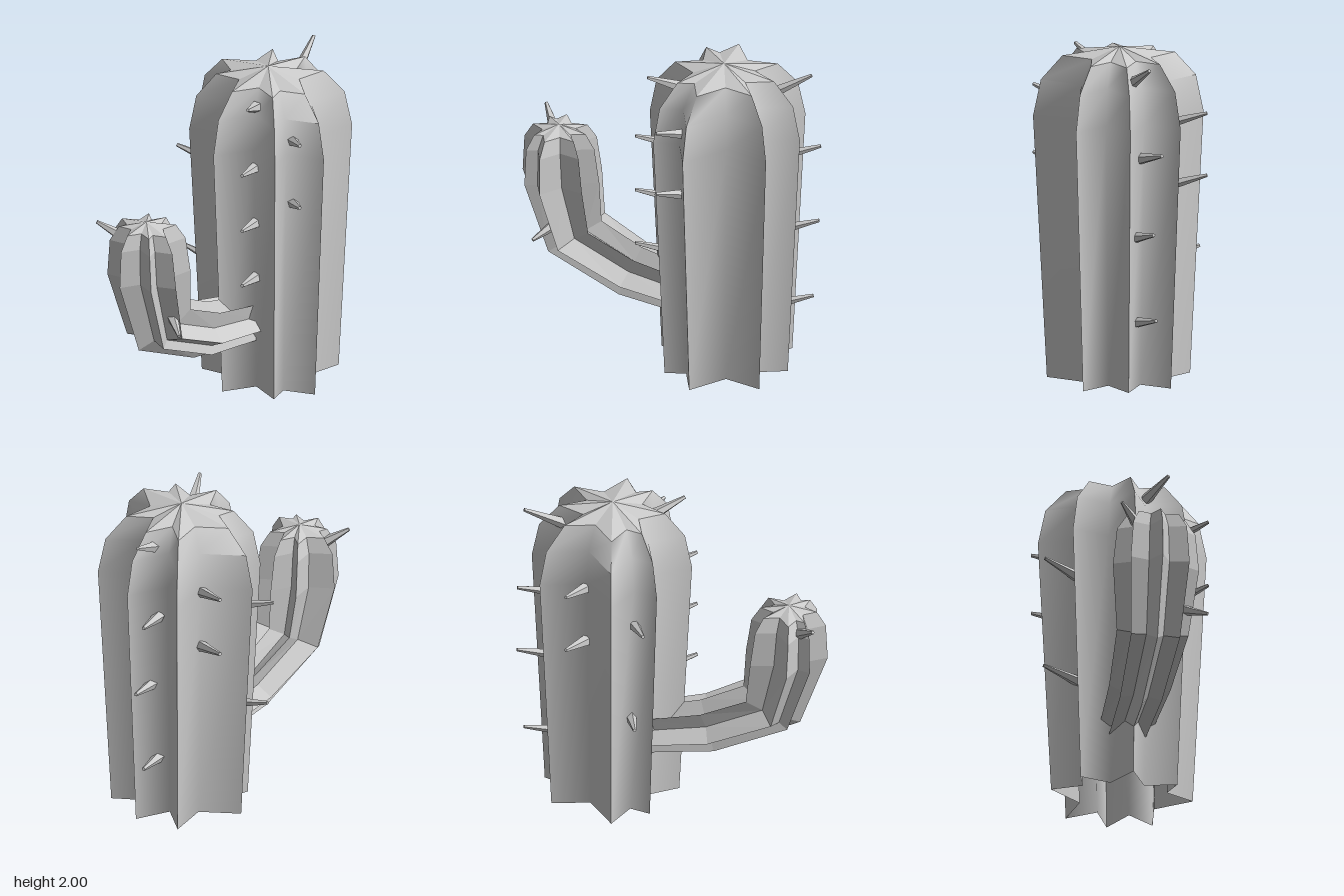
import * as THREE from 'three';
import { toCreasedNormals } from 'three/addons/utils/BufferGeometryUtils.js';

const skin = new THREE.MeshStandardMaterial({ color: 0xcccccc, side: THREE.DoubleSide });
const facetedSkin = new THREE.MeshStandardMaterial({ color: 0xcccccc, side: THREE.DoubleSide, flatShading: true });

// Eight-ribbed star section: one half, alternating rib tip and valley, then mirrored
const half = [
  [0.48, 0], [0.25, 0.113], [0.39, 0.31], [0.12, 0.265], [-0.06, 0.505],
  [-0.165, 0.3], [-0.31, 0.345], [-0.25, 0.12], [-0.47, 0],
];
const star = [...half, ...half.slice(1, -1).reverse().map(([u, v]) => [u, -v])];

// Star ring at (x, y, 0); tilt turns its u axis from +x towards +y
function ring(x, y, scale, tilt = 0) {
  return star.map(([u, v]) => new THREE.Vector3(
    x + u * scale * Math.cos(tilt), y + u * scale * Math.sin(tilt), v * scale));
}

// Skin between successive rings; a ring of one point closes to an apex
function loft(rings) {
  const points = [];
  for (let j = 0; j < rings.length - 1; j++) {
    const low = rings[j], high = rings[j + 1], n = low.length;
    for (let i = 0; i < n; i++) {
      const k = (i + 1) % n;
      points.push(low[i], high[i % high.length], low[k]);
      if (high.length > 1) points.push(low[k], high[i], high[k]);
    }
  }
  const geometry = new THREE.BufferGeometry().setFromPoints(points);
  geometry.computeVertexNormals();
  return geometry;
}

function add(parent, name, geometry, material) {
  const mesh = new THREE.Mesh(geometry, material);
  mesh.name = name;
  parent.add(mesh);
  return mesh;
}

// Blunt tapered spine from base to tip
function addSpine(parent, base, tip) {
  const a = new THREE.Vector3(...base), b = new THREE.Vector3(...tip);
  const direction = b.clone().sub(a);
  const length = direction.length();
  const mesh = add(parent, 'spine', new THREE.CylinderGeometry(0.011, 0.036, length, 5), facetedSkin);
  mesh.position.copy(a).add(b).multiplyScalar(0.5);
  mesh.quaternion.setFromUnitVectors(new THREE.Vector3(0, 1, 0), direction.normalize());
}

export function createModel() {
  const model = new THREE.Group();
  model.name = 'cactus';

  // Trunk: open underneath, sharp ribs and soft valleys
  const trunk = new THREE.Group();
  trunk.name = 'trunk';
  model.add(trunk);
  const cx = 0.36;
  const trunkRings = [[0, 0.84], [1.58, 1], [1.8, 0.91], [1.945, 0.66]].map(([y, s]) => ring(cx, y, s));
  add(trunk, 'trunkBody', toCreasedNormals(loft(trunkRings), 1.83), skin);
  add(trunk, 'trunkCap', loft([trunkRings[3], [new THREE.Vector3(cx, 2, 0)]]), facetedSkin);

  // Arm: the same star swept sideways and then up
  const arm = new THREE.Group();
  arm.name = 'arm';
  model.add(arm);
  const armRings = [
    [0.15, 0.41, 0.32, 1.5], [-0.22, 0.475, 0.365, 1.24], [-0.585, 0.65, 0.425, 0.59],
    [-0.675, 1.015, 0.51, 0.02], [-0.685, 1.24, 0.465, 0], [-0.685, 1.33, 0.35, 0],
  ].map((r) => ring(...r));
  add(arm, 'armBody', loft(armRings), facetedSkin);
  add(arm, 'armCap', loft([armRings[5], [new THREE.Vector3(-0.685, 1.362, 0)]]), facetedSkin);

  // Spines, as [base, tip]
  const spines = new THREE.Group();
  spines.name = 'spines';
  model.add(spines);
  const list = [
    // left-hand front valley
    [[0.14, 1.85, 0.11], [-0.04, 1.93, 0.21]],
    // right side
    [[0.64, 1.84, -0.03], [0.87, 1.97, -0.11]],
    [[0.65, 1.385, -0.08], [0.9, 1.46, -0.18]],
    [[0.66, 0.91, -0.04], [0.91, 0.985, -0.13]],
    [[0.61, 0.385, -0.05], [0.865, 0.455, -0.15]],
    // rear valleys
    [[0.2, 1.33, -0.27], [0.11, 1.4, -0.5]],
    [[0.22, 0.66, -0.25], [0.16, 0.73, -0.5]],
    // arm
    [[-0.76, 1.25, -0.12], [-0.86, 1.345, -0.235]],
    [[-0.64, 0.785, 0.16], [-0.73, 0.73, 0.305]],
  ];
  for (const y of [1.53, 1.165, 0.805]) list.push([[0.13, y - 0.07, 0.12], [-0.11, y, 0.23]]);
  for (const y of [1.73, 1.32]) list.push([[0.25, y - 0.075, 0.29], [0.12, y, 0.48]]);
  for (const y of [1.63, 1.255]) list.push([[0.48, y - 0.08, -0.25], [0.57, y, -0.49]]);
  for (const [base, tip] of list) addSpine(spines, base, tip);

  return model;
}
